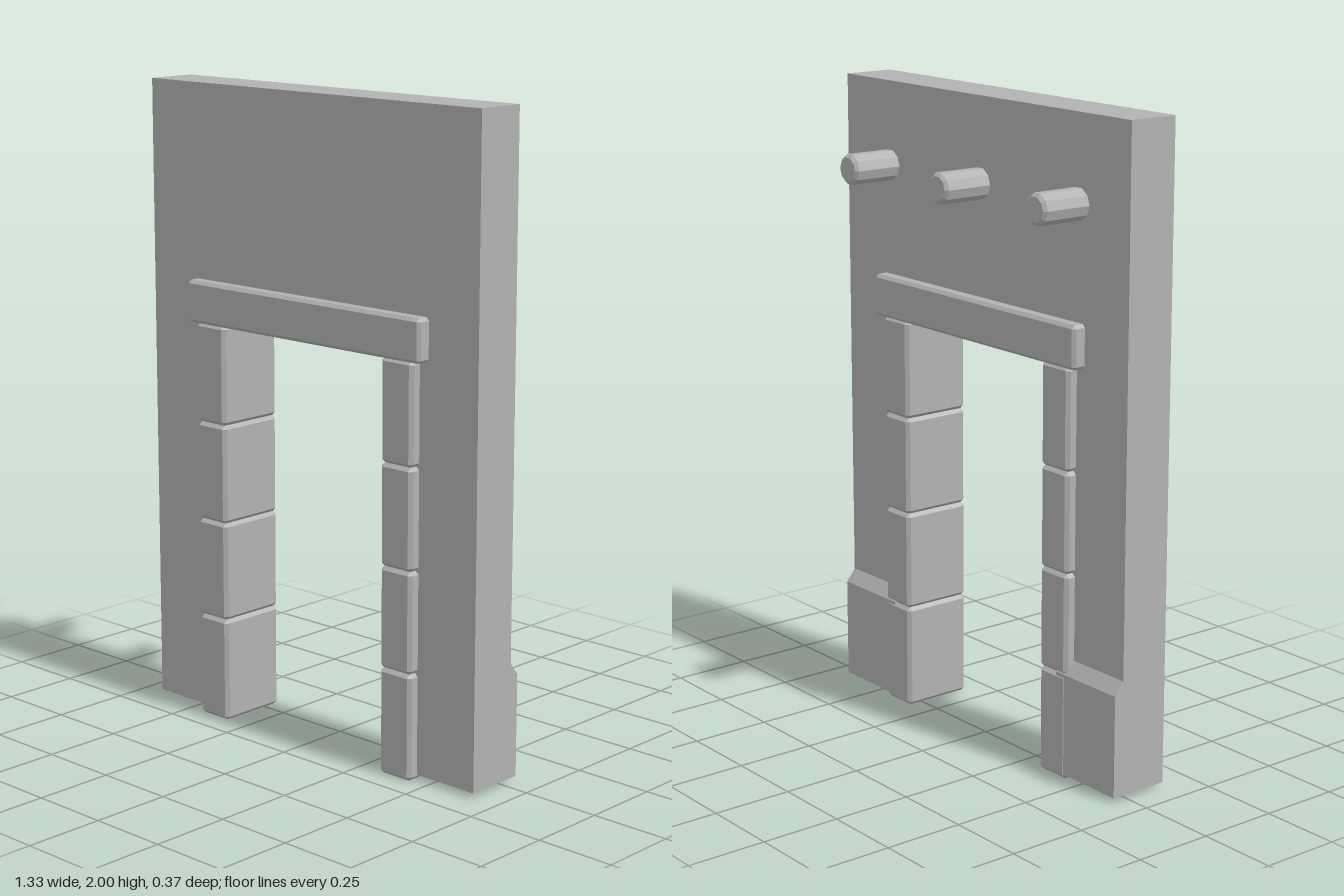
import * as THREE from 'three';
import { ConvexGeometry } from 'three/addons/geometries/ConvexGeometry.js';

// Box with all edges chamfered by b
function chamferBox(w, h, d, b) {
  const pts = [];
  for (const x of [-1, 1]) for (const y of [-1, 1]) for (const z of [-1, 1]) {
    const [X, Y, Z] = [w / 2, h / 2, d / 2];
    pts.push(
      new THREE.Vector3(x * X, y * (Y - b), z * (Z - b)),
      new THREE.Vector3(x * (X - b), y * Y, z * (Z - b)),
      new THREE.Vector3(x * (X - b), y * (Y - b), z * Z));
  }
  return new ConvexGeometry(pts);
}

export function createModel() {
  const model = new THREE.Group();
  model.name = 'doorwayWall';
  const stone = new THREE.MeshStandardMaterial({ color: 0xb2b2b2, flatShading: true });
  stone.name = 'grey stone';

  function add(name, geometry, x, y, z) {
    const mesh = new THREE.Mesh(geometry, stone);
    mesh.name = name;
    mesh.position.set(x, y, z);
    model.add(mesh);
    return mesh;
  }

  // Wall slab with the door opening cut from its foot
  const W = 0.665, base = 0.015, back = -0.022, front = 0.14;
  const outline = [[-W, base], [-0.385, base], [-0.385, 1.33], [0.385, 1.33],
    [0.385, base], [W, base], [W, 2], [-W, 2]];
  const wall = new THREE.Shape(outline.map(([x, y]) => new THREE.Vector2(x, y)));
  add('wall', new THREE.ExtrudeGeometry(wall, { depth: front - back, bevelEnabled: false }), 0, 0, back);

  // Lintel across the top of the opening
  add('lintel', chamferBox(0.958, 0.132, 0.244, 0.01), 0, 1.331, 0.059);

  // Stacked jamb blocks and the sloped plinth behind each side
  const joints = [0, 0.33, 0.643, 0.955, 1.268];
  const section = new THREE.Shape([[0, base], [0.031, base], [0.031, 0.332], [0, 0.372]]
    .map(([z, y]) => new THREE.Vector2(z, y)));
  for (const side of [-1, 1]) {
    for (let i = 0; i < 4; i++) {
      const y0 = joints[i], y1 = joints[i + 1];
      add('jambBlock', chamferBox(0.122, y1 - y0, 0.23, 0.011), side * 0.385, (y0 + y1) / 2, 0.06);
    }
    const width = W - 0.4;
    const plinth = add('backPlinth', new THREE.ExtrudeGeometry(section, { depth: width, bevelEnabled: false }),
      side > 0 ? 0.4 : -W, 0, back);
    plinth.rotation.y = Math.PI / 2;
  }

  // Three ten-sided pegs with chamfered tips on the back
  const r = 0.048, tip = -0.184;
  const profile = [[0, back], [r, back], [r, tip + 0.01], [r - 0.01, tip], [0, tip]]
    .map(([x, z]) => new THREE.Vector2(x, -z)); // runs towards the back
  for (const x of [-0.445, 0, 0.445]) {
    const peg = add('peg', new THREE.LatheGeometry(profile, 10, Math.PI / 2), x, 1.74, 0);
    peg.rotation.x = -Math.PI / 2;
  }
  return model;
}
